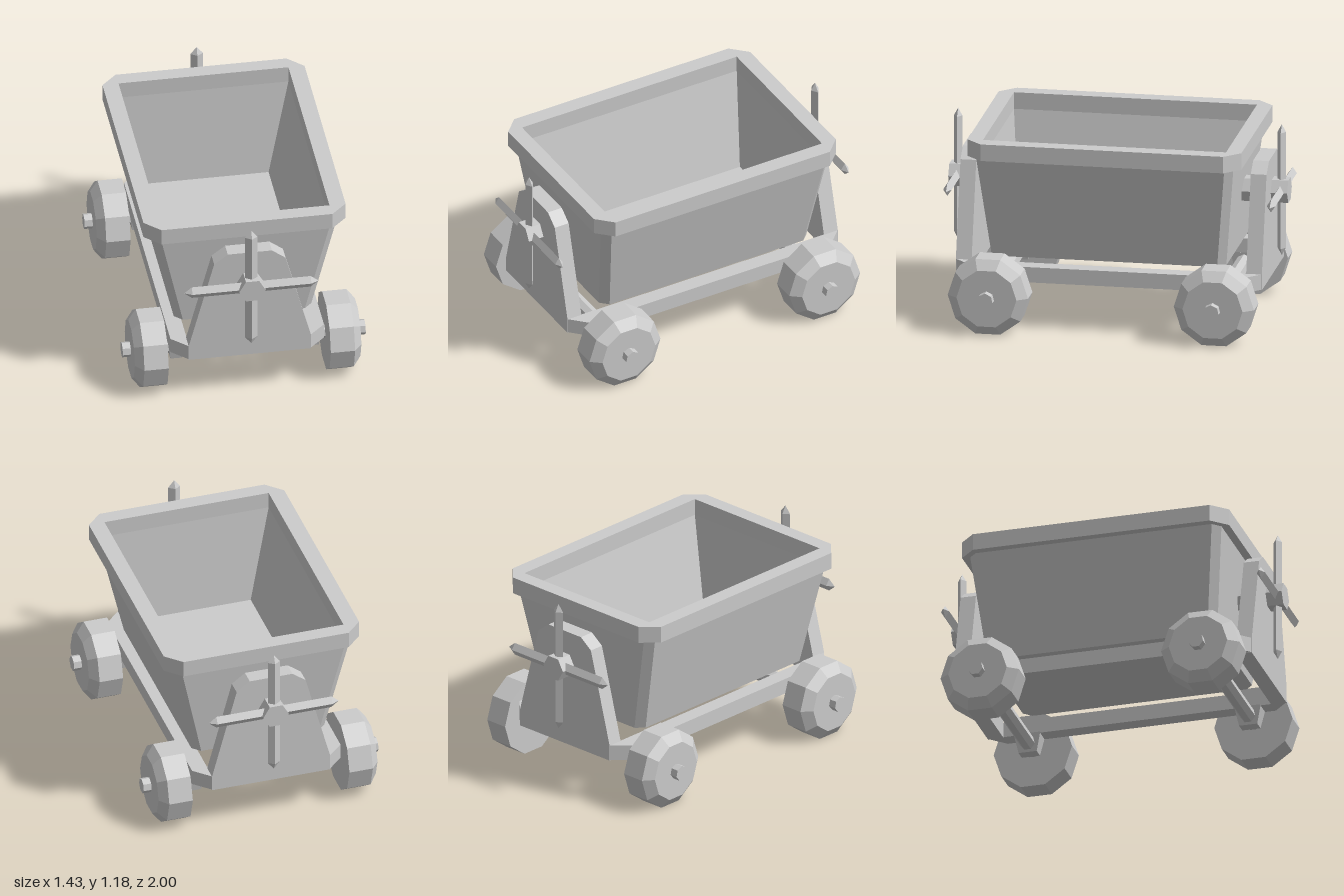
import * as THREE from 'three';

const material = new THREE.MeshStandardMaterial({ color: 0xcccccc, flatShading: true });

function add(parent, name, geometry) {
  const mesh = new THREE.Mesh(geometry, material);
  mesh.name = name;
  parent.add(mesh);
  return mesh;
}

// Rectangular ring with cut corners, counter-clockwise seen from above
function ring(y, hx, hz, c = 0) {
  return [
    [hx, hz - c], [hx, c - hz], [hx - c, -hz], [c - hx, -hz],
    [-hx, c - hz], [-hx, hz - c], [c - hx, hz], [hx - c, hz],
  ].map(([x, z]) => new THREE.Vector3(x, y, z));
}

// Skin a series of rings, dropping collapsed triangles
function loft(rings) {
  const pos = [];
  const tri = (a, b, c) => {
    const area = b.clone().sub(a).cross(c.clone().sub(a)).length();
    if (area > 1e-7) for (const p of [a, b, c]) pos.push(p.x, p.y, p.z);
  };
  for (let i = 0; i < rings.length - 1; i++) {
    for (let j = 0; j < 8; j++) {
      const k = (j + 1) % 8;
      tri(rings[i][j], rings[i][k], rings[i + 1][k]);
      tri(rings[i][j], rings[i + 1][k], rings[i + 1][j]);
    }
  }
  const geometry = new THREE.BufferGeometry();
  geometry.setAttribute('position', new THREE.Float32BufferAttribute(pos, 3));
  geometry.computeVertexNormals();
  return geometry;
}

function lathe(points, sides) {
  return new THREE.LatheGeometry(points.map(p => new THREE.Vector2(...p)), sides);
}

function shape(points) {
  return new THREE.Shape(points.map(p => new THREE.Vector2(...p)));
}

function extrude(points, depth) {
  return new THREE.ExtrudeGeometry(shape(points), { depth, bevelEnabled: false });
}

// Everything mounted on one end; built facing +z
function createEnd(name) {
  const end = new THREE.Group();
  end.name = name;

  // Upright plate that carries the tub
  add(end, 'endPlate', extrude([
    [-0.36, 0.275], [0.36, 0.275], [0.36, 0.37], [0.21, 0.93],
    [0.13, 0.99], [-0.13, 0.99], [-0.21, 0.93], [-0.36, 0.37],
  ], 0.093).translate(0, 0, 0.81));

  // Hexagonal pivot and crossed spokes
  const pivot = add(end, 'pivot', new THREE.CylinderGeometry(0.078, 0.078, 0.29, 6, 1, false, Math.PI / 2)
    .rotateX(Math.PI / 2));
  pivot.position.set(0, 0.783, 0.855);
  for (const angle of [0, Math.PI / 2]) {
    const spoke = add(end, 'spoke', lathe([[0, -0.396], [1, -0.35], [1, 0.35], [0, 0.396]], 4)
      .scale(0.037, 1, 0.025).rotateZ(angle));
    spoke.position.set(0, 0.783, 0.955);
  }

  // Axle
  const axle = add(end, 'axle', new THREE.CylinderGeometry(0.046, 0.046, 1.43, 7, 1, false, -Math.PI / 2)
    .rotateZ(-Math.PI / 2));
  axle.position.set(0, 0.228, 0.667);

  for (const side of [-1, 1]) {
    // Ten-sided wheel with a bevelled outer face
    const wheel = add(end, 'wheel', lathe(
      [[0, 0.477], [0.237, 0.477], [0.237, 0.62], [0.177, 0.667], [0, 0.667]], 10)
      .rotateZ(-side * Math.PI / 2));
    wheel.position.set(0, 0.228, 0.667);

    // Tapered bearing block under the side beam
    const bearing = add(end, 'axleBearing', loft([
      ring(0.17, 0, 0), ring(0.17, 0.034, 0.055), ring(0.285, 0.047, 0.08), ring(0.285, 0, 0),
    ]));
    bearing.position.set(side * 0.403, 0, 0.667);
  }
  return end;
}

export function createModel() {
  const cart = new THREE.Group();
  cart.name = 'mineCart';

  // Open tub: outside wall, overhanging rim, then the inside down to the floor
  add(cart, 'tub', loft([
    ring(0.415, 0, 0),
    ring(0.415, 0.405, 0.693, 0.046),
    ring(1.04, 0.545, 0.76, 0.046),
    ring(1.04, 0.595, 0.808, 0.092),
    ring(1.14, 0.595, 0.808, 0.092),
    ring(1.14, 0.5, 0.717),
    ring(1.04, 0.5, 0.717),
    ring(0.45, 0.375, 0.667),
    ring(0.45, 0, 0),
  ]));

  // Side beams with mitred ends
  for (const side of [-1, 1]) {
    const beam = add(cart, 'sideBeam', extrude([
      [0.357, -0.903], [0.452, -0.81], [0.452, 0.81], [0.357, 0.903],
    ], 0.092).rotateX(-Math.PI / 2));
    beam.rotation.y = side < 0 ? Math.PI : 0;
    beam.position.y = 0.278;
  }

  // Matching ends
  cart.add(createEnd('frontEnd'));
  const back = createEnd('backEnd');
  back.rotation.y = Math.PI;
  cart.add(back);

  return cart;
}
